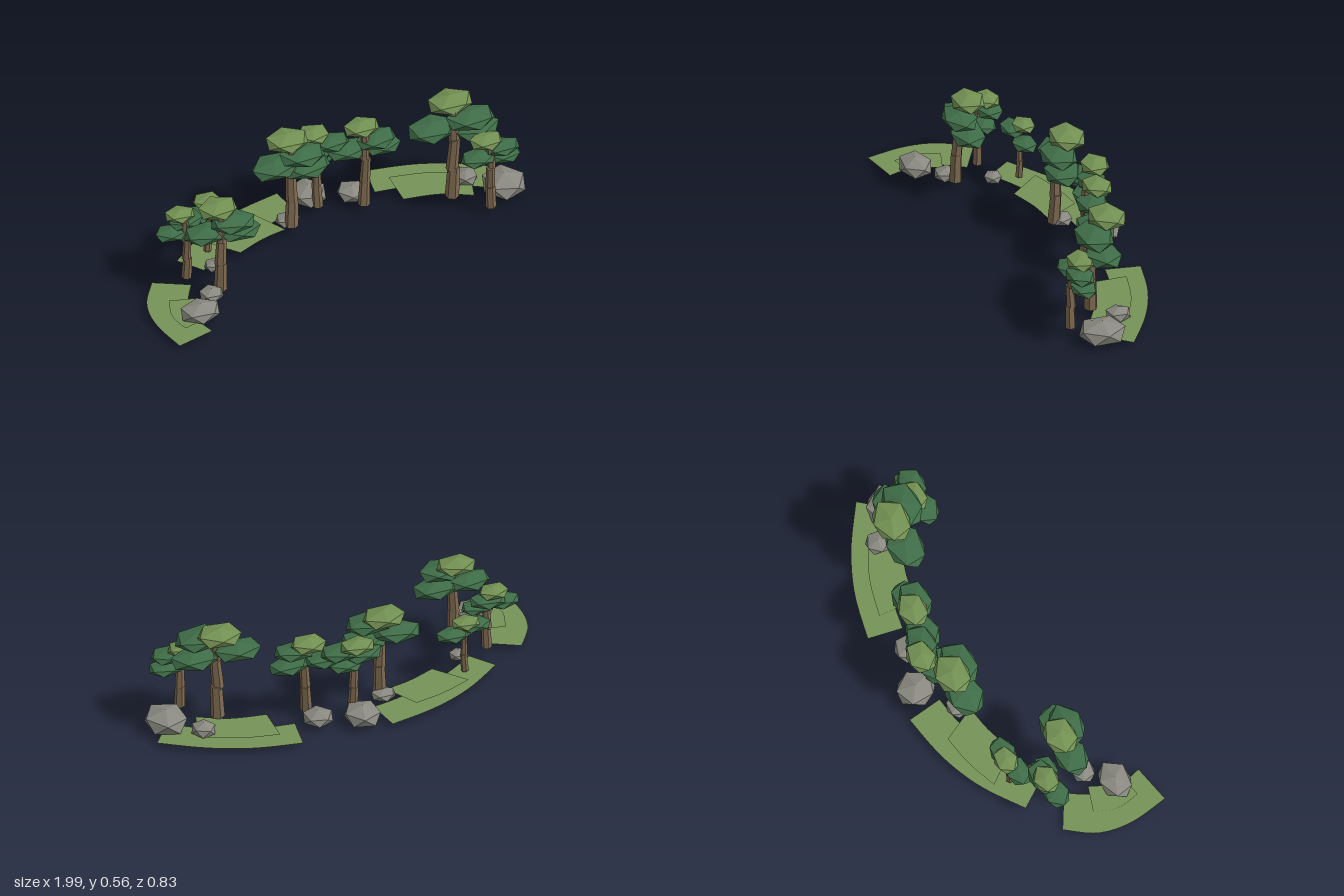
import * as THREE from 'three';

const mat = (name, color) => {
  const m = new THREE.MeshStandardMaterial({ color, flatShading: true });
  m.name = name;
  return m;
};

export function createModel() {
  const group = new THREE.Group();
  const grass = mat('grass green', 0x769458);
  grass.side = THREE.DoubleSide;
  const bark = mat('bark brown', 0x7f6a51);
  const darkLeaf = mat('dark foliage green', 0x3f6d48);
  const lightLeaf = mat('light foliage green', 0x739153);
  const stone = mat('stone grey', 0x8a8a82);

  // Small repeatable variation
  let seed = 7;
  const vary = (a) => {
    seed = (seed * 16807) % 2147483647;
    return (seed / 2147483647 - 0.5) * 2 * a;
  };

  // Icosahedron standing on a vertex
  const blobGeo = new THREE.IcosahedronGeometry(1, 0);
  blobGeo.rotateZ(Math.atan(2 / (1 + Math.sqrt(5))));

  // Squashed boulder or leaf pad with half sizes rx, ry, rz
  function blob(name, material, x, y, z, rx, ry, rz, tilt) {
    const geo = blobGeo.clone().rotateY(vary(3)).scale(rx * 1.14, ry, rz * 1.11);
    const m = new THREE.Mesh(geo, material);
    m.name = name;
    m.position.set(x, y, z);
    m.rotation.set(vary(tilt), 0, vary(tilt));
    return m;
  }

  // Flat curved band between an outer and an inner edge of [x, z] points
  function band(name, y, outer, inner) {
    const smooth = (pts) =>
      new THREE.SplineCurve(pts.map(([x, z]) => new THREE.Vector2(x, -z))).getPoints(14);
    const shape = new THREE.Shape([...smooth(outer), ...smooth(inner).reverse()]);
    const m = new THREE.Mesh(new THREE.ShapeGeometry(shape).rotateX(-Math.PI / 2), grass);
    m.name = name;
    m.position.y = y;
    group.add(m);
  }

  // Grass: three wide bands, each with a shorter band lying on it
  const low = 0.023, high = 0.03;
  band('rightGrass', low,
    [[-0.875, -0.075], [-0.97, 0.06], [-1, 0.22], [-0.975, 0.41]],
    [[-0.72, 0.02], [-0.79, 0.13], [-0.815, 0.25], [-0.79, 0.375]]);
  band('rightInnerGrass', high,
    [[-0.87, 0.09], [-0.91, 0.2], [-0.895, 0.31]],
    [[-0.75, 0.13], [-0.78, 0.2], [-0.78, 0.29]]);
  band('backGrass', low,
    [[-0.7, -0.17], [-0.5, -0.3], [-0.29, -0.38], [-0.06, -0.42]],
    [[-0.62, -0.05], [-0.44, -0.15], [-0.2, -0.225], [-0.04, -0.25]]);
  band('backInnerGrass', high,
    [[-0.53, -0.24], [-0.38, -0.29], [-0.23, -0.315]],
    [[-0.415, -0.085], [-0.28, -0.13], [-0.15, -0.15]]);
  band('leftGrass', low,
    [[0.38, -0.39], [0.6, -0.335], [0.8, -0.24], [0.99, -0.105]],
    [[0.345, -0.225], [0.55, -0.18], [0.73, -0.09], [0.88, 0.02]]);
  band('leftInnerGrass', high,
    [[0.45, -0.29], [0.63, -0.24], [0.8, -0.15]],
    [[0.435, -0.11], [0.6, -0.07], [0.74, 0.01]]);

  // Rocks: x, y, z, half sizes
  const rocks = [
    [-0.79, 0.052, 0.25, 0.093, 0.044, 0.073],
    [-0.68, 0.043, 0.145, 0.055, 0.031, 0.053],
    [-0.57, 0.042, -0.045, 0.045, 0.026, 0.042],
    [-0.115, 0.042, -0.2, 0.056, 0.027, 0.05],
    [0.05, 0.053, -0.325, 0.083, 0.049, 0.092],
    [0.24, 0.046, -0.25, 0.068, 0.036, 0.072],
    [0.76, 0.046, -0.12, 0.055, 0.036, 0.058],
    [0.89, 0.056, 0.012, 0.097, 0.056, 0.109],
  ];
  for (const r of rocks) group.add(blob('rock', stone, ...r, 0.03));

  const up = new THREE.Vector3(0, 1, 0);

  // Trunk of three overlapping tapered six-sided pieces, slightly out of line
  function trunk(base, top, radius) {
    const g = new THREE.Group();
    g.name = 'trunk';
    const n = 3;
    for (let i = 0; i < n; i++) {
      const a = base.clone().lerp(top, i / n);
      const b = base.clone().lerp(top, (i + 1.08) / n);
      if (i > 0) a.add(new THREE.Vector3(vary(0.005), 0, vary(0.004)));
      if (i < n - 1) b.add(new THREE.Vector3(vary(0.009), 0, vary(0.007)));
      const r = radius * (1 - 0.12 * i);
      const geo = new THREE.CylinderGeometry(r * 0.86, r, a.distanceTo(b), 6);
      const m = new THREE.Mesh(geo, bark);
      m.name = 'trunkPiece';
      m.position.copy(a).add(b).multiplyScalar(0.5);
      m.quaternion.setFromUnitVectors(up, b.clone().sub(a).normalize());
      g.add(m);
    }
    return g;
  }

  // Trees: base [x, z], trunk radius, crown [x, y, z, half width], pads likewise
  const trees = [
    { base: [-0.72, -0.03], r: 0.024, crown: [-0.73, 0.365, -0.08, 0.07],
      pads: [[-0.785, 0.29, -0.06, 0.078], [-0.7, 0.325, -0.08, 0.085], [-0.66, 0.275, -0.04, 0.07]] },
    { base: [-0.62, 0.12], r: 0.031, crown: [-0.607, 0.457, 0.065, 0.092],
      pads: [[-0.56, 0.405, 0.125, 0.105], [-0.68, 0.345, 0.08, 0.1], [-0.52, 0.335, 0.1, 0.107]] },
    { base: [-0.545, -0.165], r: 0.018, crown: [-0.54, 0.308, -0.185, 0.066],
      pads: [[-0.6, 0.265, -0.155, 0.075], [-0.482, 0.244, -0.165, 0.077]] },
    { base: [-0.115, -0.16], r: 0.032, crown: [-0.107, 0.482, -0.222, 0.1],
      pads: [[-0.06, 0.425, -0.16, 0.11], [-0.18, 0.37, -0.2, 0.113], [-0.03, 0.345, -0.17, 0.11]] },
    { base: [0.06, -0.238], r: 0.025, crown: [0.06, 0.41, -0.292, 0.08],
      pads: [[0.13, 0.37, -0.25, 0.09], [0.02, 0.335, -0.24, 0.1], [0.11, 0.305, -0.27, 0.08]] },
    { base: [0.255, -0.155], r: 0.028, crown: [0.272, 0.433, -0.215, 0.083],
      pads: [[0.325, 0.38, -0.17, 0.095], [0.19, 0.335, -0.21, 0.1], [0.36, 0.324, -0.19, 0.094]] },
    { base: [0.645, -0.03], r: 0.033, crown: [0.67, 0.522, -0.1, 0.104],
      pads: [[0.73, 0.47, -0.012, 0.117], [0.57, 0.408, -0.085, 0.115], [0.77, 0.385, -0.04, 0.112]] },
    { base: [0.77, 0.12], r: 0.026, crown: [0.77, 0.38, 0.07, 0.078],
      pads: [[0.835, 0.342, 0.1, 0.085], [0.715, 0.32, 0.1, 0.083], [0.855, 0.285, 0.09, 0.08]] },
  ];
  for (const t of trees) {
    const tree = new THREE.Group();
    tree.name = 'tree';
    const [cx, cy, cz, cw] = t.crown;
    const base = new THREE.Vector3(t.base[0], 0.035, t.base[1]);
    const top = new THREE.Vector3(
      (base.x + cx) / 2, cy - 0.02, base.z * 0.88 + cz * 0.12);
    tree.add(trunk(base, top, t.r));
    tree.add(blob('crown', lightLeaf, cx, cy, cz, cw, cw * 0.38, cw * 0.82, 0.05));
    for (const [x, y, z, w] of t.pads)
      tree.add(blob('foliagePad', darkLeaf, x, y, z, w, w * 0.34, w * 0.75, 0.07));
    group.add(tree);
  }
  return group;
}
